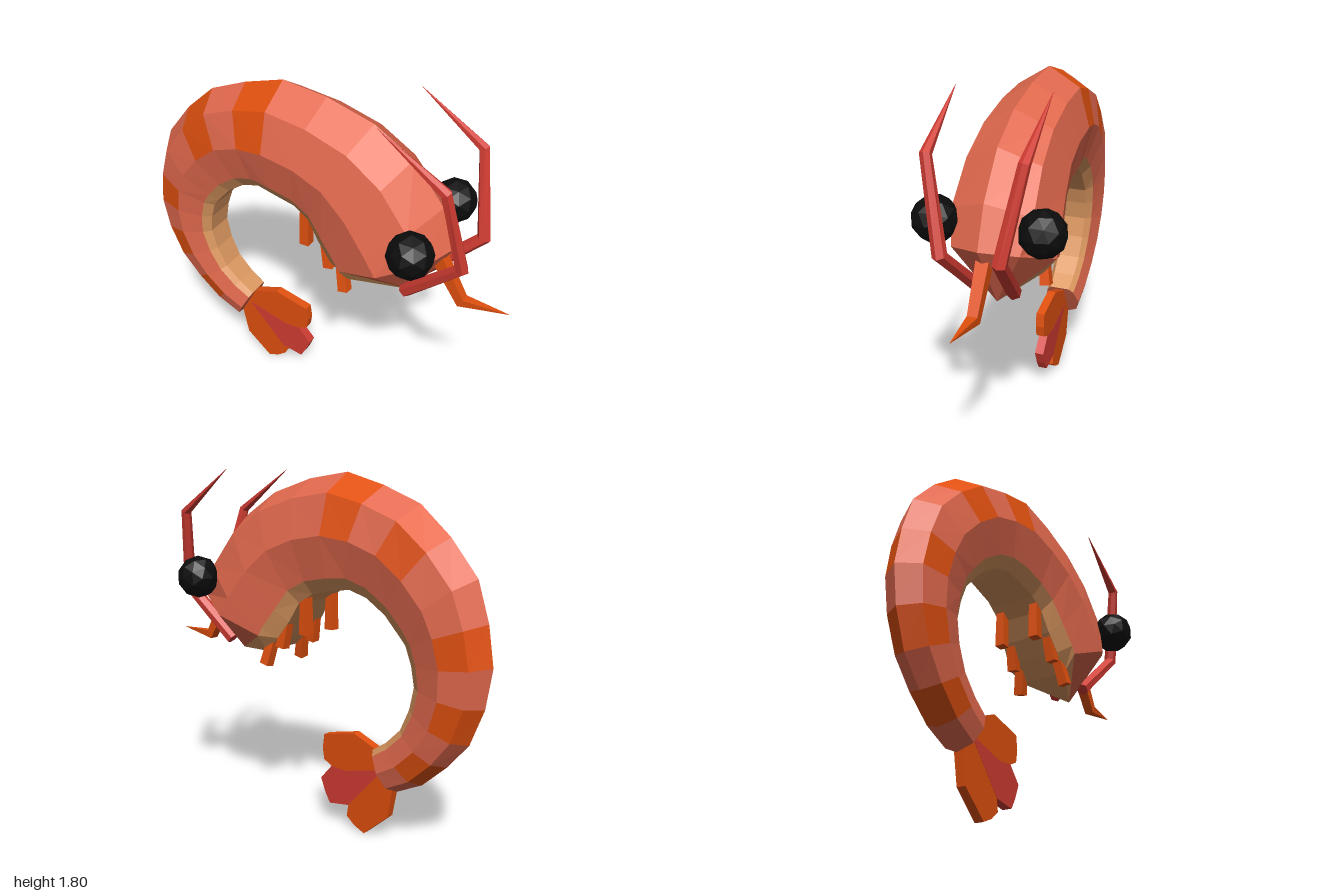
import * as THREE from 'three';

const mat = (name, color, side = THREE.FrontSide) => {
  const m = new THREE.MeshStandardMaterial({ color, flatShading: true, side });
  m.name = name;
  return m;
};

export function createModel() {
  const group = new THREE.Group();
  const shell = mat('salmon shell', 0xe2694e);
  const orange = mat('orange', 0xe0500f);
  const belly = mat('tan belly', 0xdc9860);
  const red = mat('red', 0xd03c32);
  const black = mat('black', 0x0c0c0c);

  const add = (name, geometry, material, parent = group) => {
    const mesh = new THREE.Mesh(geometry, material);
    mesh.name = name;
    parent.add(mesh);
    return mesh;
  };

  // Body rings from tail to head: outer x, y, inner x, y, half width
  const spine = [
    [-0.52, 0.27, -0.41, 0.475, 0.10], [-0.66, 0.34, -0.49, 0.53, 0.107],
    [-0.79, 0.46, -0.57, 0.61, 0.113], [-0.90, 0.59, -0.62, 0.72, 0.12],
    [-0.97, 0.77, -0.645, 0.83, 0.128], [-1.0, 0.96, -0.63, 0.93, 0.137],
    [-0.97, 1.15, -0.60, 1.02, 0.147], [-0.91, 1.34, -0.56, 1.07, 0.157],
    [-0.77, 1.51, -0.49, 1.15, 0.167], [-0.61, 1.65, -0.39, 1.22, 0.18],
    [-0.41, 1.73, -0.295, 1.25, 0.193], [-0.20, 1.79, -0.20, 1.235, 0.21],
    [0.03, 1.76, -0.08, 1.21, 0.215], [0.27, 1.69, 0.0, 1.16, 0.225],
    [0.47, 1.57, 0.06, 1.06, 0.24], [0.63, 1.37, 0.13, 0.97, 0.255],
  ];
  // Cross-section: depth from the ridge to the belly, share of half width
  const section = [[0, 0], [0.17, 0.75], [0.52, 1], [0.88, 0.78], [1, 0.55]];
  const mirrorRing = half => [...half, ...half.slice(1).reverse().map(([x, y, z]) => [x, y, -z])];
  const rings = spine.map(([ox, oy, ix, iy, w]) => mirrorRing(
    section.map(([t, s]) => [ox + (ix - ox) * t, oy + (iy - oy) * t, w * s])));
  rings.push(mirrorRing([[0.71, 1.18, 0], [0.63, 1.15, 0.16], [0.43, 1.07, 0.26],
    [0.21, 0.98, 0.2], [0.22, 0.89, 0.13]]));

  const faces = { shell: [], stripes: [], belly: [] };
  const tri = (part, a, b, c) => faces[part].push(...a, ...b, ...c);
  const striped = [1, 3, 5, 8, 10];
  const n = rings[0].length;
  for (let i = 0; i < rings.length - 1; i++) {
    for (let j = 0; j < n; j++) {
      const k = (j + 1) % n;
      const back = j < 2 || j > 6;
      const under = j >= 3 && j <= 5;
      const part = under ? 'belly' : back && striped.includes(i) ? 'stripes' : 'shell';
      const [a, b, c, d] = [rings[i][j], rings[i][k], rings[i + 1][k], rings[i + 1][j]];
      tri(part, a, b, c);
      tri(part, a, c, d);
    }
  }
  // Face tapering to the chin, and the tail cap
  const chin = [0.51, 0.85, 0];
  const head = rings[rings.length - 1], tail = rings[0];
  for (let j = 0; j < n; j++) {
    const k = (j + 1) % n;
    tri(j >= 3 && j <= 5 ? 'belly' : 'shell', head[j], head[k], chin);
    tri('shell', tail[k], tail[j], [-0.465, 0.37, 0]);
  }
  const bodyMats = { shell, stripes: orange, belly };
  for (const part in faces) {
    const g = new THREE.BufferGeometry();
    g.setAttribute('position', new THREE.Float32BufferAttribute(faces[part], 3));
    g.computeVertexNormals();
    add(part, g, bodyMats[part]);
  }

  // Jointed limb: a tapering polygonal sweep through points [x, y, z, radius]
  const limb = (name, pts, sides, material) => {
    const p = pts.map(q => new THREE.Vector3(q[0], q[1], q[2]));
    const loops = p.map((c, i) => {
      const dir = p[Math.min(i + 1, p.length - 1)].clone().sub(p[Math.max(i - 1, 0)]).normalize();
      const u = new THREE.Vector3(0, 0, 1).addScaledVector(dir, -dir.z).normalize();
      const v = dir.clone().cross(u);
      return Array.from({ length: sides }, (_, s) => {
        const a = (s + 0.5) / sides * Math.PI * 2;
        return c.clone().addScaledVector(u, Math.cos(a) * pts[i][3])
          .addScaledVector(v, Math.sin(a) * pts[i][3]).toArray();
      });
    });
    const pos = [];
    for (let s = 0; s < sides; s++) {
      const k = (s + 1) % sides;
      for (let i = 0; i < p.length - 1; i++) {
        const [a, b, c, d] = [loops[i][s], loops[i][k], loops[i + 1][k], loops[i + 1][s]];
        pos.push(...a, ...b, ...c, ...a, ...c, ...d);
      }
      const e = p.length - 1;
      pos.push(...loops[0][k], ...loops[0][s], ...p[0].toArray());
      pos.push(...loops[e][s], ...loops[e][k], ...p[e].toArray());
    }
    const g = new THREE.BufferGeometry();
    g.setAttribute('position', new THREE.Float32BufferAttribute(pos, 3));
    g.computeVertexNormals();
    return add(name, g, material);
  };

  // Paired eyes, antennae and legs
  const legs = [[-0.025, 1.25, -0.025, 1.0], [0.075, 1.15, 0.12, 0.92], [0.165, 1.04, 0.215, 0.82]];
  for (const s of [1, -1]) {
    const side = s > 0 ? 'left' : 'right';
    add(side + 'Eye', new THREE.IcosahedronGeometry(0.11, 1), black).position.set(0.59, 1.255, 0.25 * s);
    limb(side + 'Antenna', [[0.51, 0.91, 0.085 * s, 0.036], [0.79, 1.18, 0.135 * s, 0.034],
      [0.71, 1.59, 0.215 * s, 0.027], [0.39, 1.805, 0.222 * s, 0.001]], 6, red);
    legs.forEach(([x0, y0, x1, y1], i) => limb(side + 'Leg' + (i + 1),
      [[x0, y0, 0.1 * s, 0.03], [x1, y1, (0.1 + 0.018 * i) * s, 0.036]], 4, orange));
  }

  // Bent feeler at the front of the head
  limb('feeler', [[0.62, 1.13, 0, 0.045], [0.77, 0.89, 0, 0.035], [1.0, 0.905, 0, 0.001]], 4, orange);

  // Tail fan plates
  const plate = (name, outline, depth, material) => {
    const shape = new THREE.Shape(outline.map(([x, y]) => new THREE.Vector2(x, y)));
    const g = new THREE.ExtrudeGeometry(shape, { depth, bevelEnabled: false });
    add(name, g.translate(0, 0, -depth / 2), material);
  };
  plate('tailFanOuter', [[-0.42, 0.46], [-0.51, 0.29], [-0.48, 0.13], [-0.34, 0.005], [-0.28, 0.03],
    [-0.23, 0.07], [-0.24, 0.13], [-0.27, 0.27], [-0.18, 0.275], [-0.13, 0.315], [-0.08, 0.34],
    [-0.07, 0.40], [-0.08, 0.475], [-0.27, 0.52]], 0.046, orange);
  plate('tailFanMiddle', [[-0.45, 0.37], [-0.24, 0.13], [-0.12, 0.11], [-0.09, 0.16], [-0.06, 0.235],
    [-0.13, 0.315], [-0.22, 0.31]], 0.048, red);

  return group;
}
